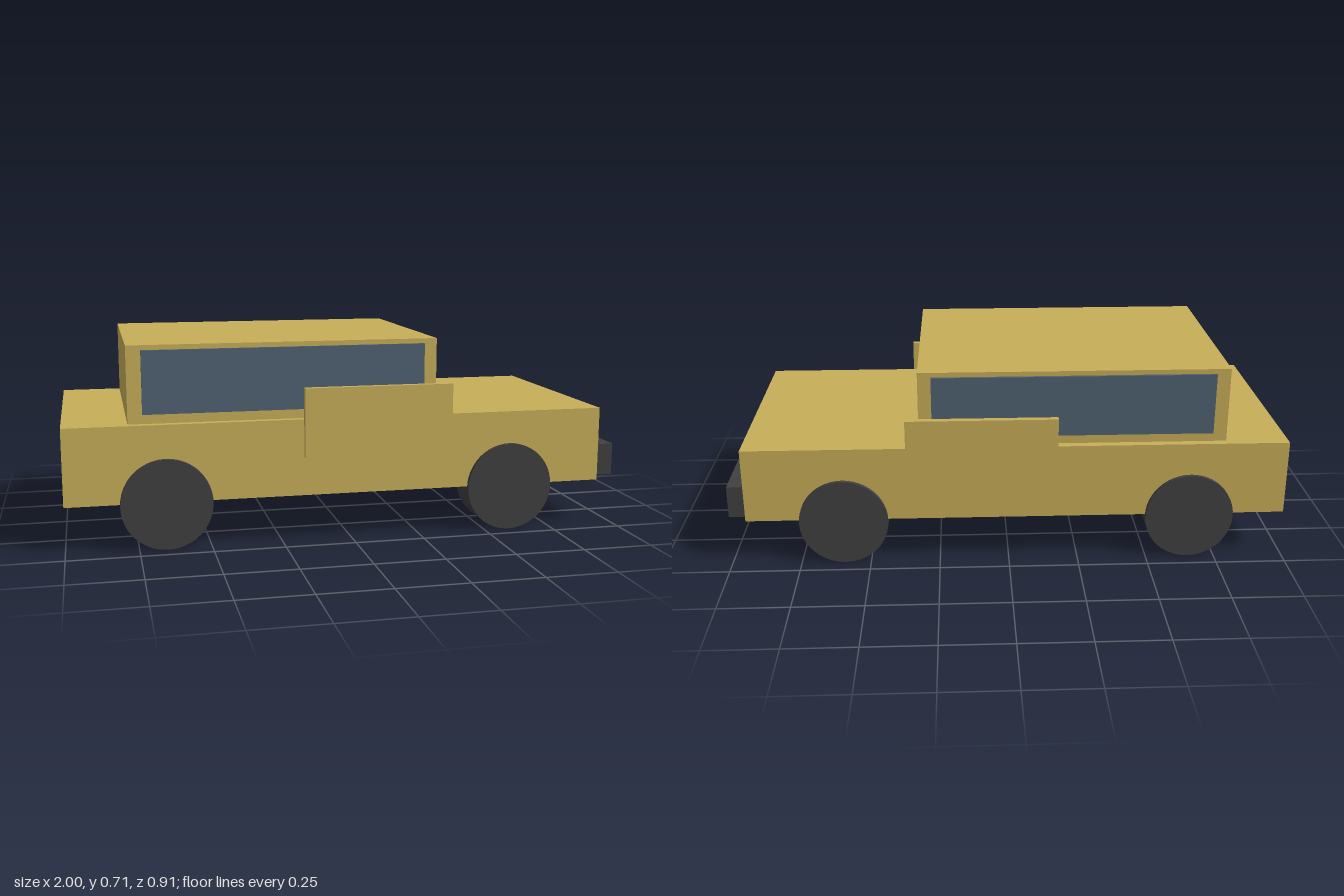
import * as THREE from 'three';

export function createModel() {
  const car = new THREE.Group();
  car.name = 'car';

  const material = (name, color) => {
    const m = new THREE.MeshStandardMaterial({ color });
    m.name = name;
    return m;
  };
  const paint = material('sand paint', 0xc8ae59);
  const glass = material('blue grey glass', 0x4f6272);
  const dark = material('dark rubber', 0x404040);

  const add = (name, geometry, mat, x, y, z) => {
    const mesh = new THREE.Mesh(geometry, mat);
    mesh.name = name;
    mesh.position.set(x, y, z);
    car.add(mesh);
    return mesh;
  };
  // Box given by its extents along x and y, its depth and its centre in z
  const box = (name, mat, [x0, x1], [y0, y1], depth, z = 0) =>
    add(name, new THREE.BoxGeometry(x1 - x0, y1 - y0, depth), mat, (x0 + x1) / 2, (y0 + y1) / 2, z);

  // Body, cabin and bumper
  box('body', paint, [-1, 0.943], [0.165, 0.437], 0.858);
  box('cabin', paint, [-0.777, 0.317], [0.437, 0.707], 0.8);
  box('bumper', dark, [0.943, 1], [0.183, 0.3], 0.858);

  // Parts mirrored on both sides
  const wheelShape = new THREE.CylinderGeometry(0.159, 0.159, 0.13, 48).rotateX(Math.PI / 2);
  for (const [side, s] of [['front', 1], ['back', -1]]) {
    box(`${side}Window`, glass, [-0.727, 0.27], [0.47, 0.69], 0.0095, s * 0.4048);
    box(`${side}Door`, paint, [-0.172, 0.363], [0.303, 0.55], 0.023, s * 0.4455);
    for (const x of [-0.653, 0.592]) {
      add(`${side}${x < 0 ? 'Rear' : 'Fore'}Wheel`, wheelShape, dark, x, 0.16, s * 0.379);
    }
  }
  return car;
}
